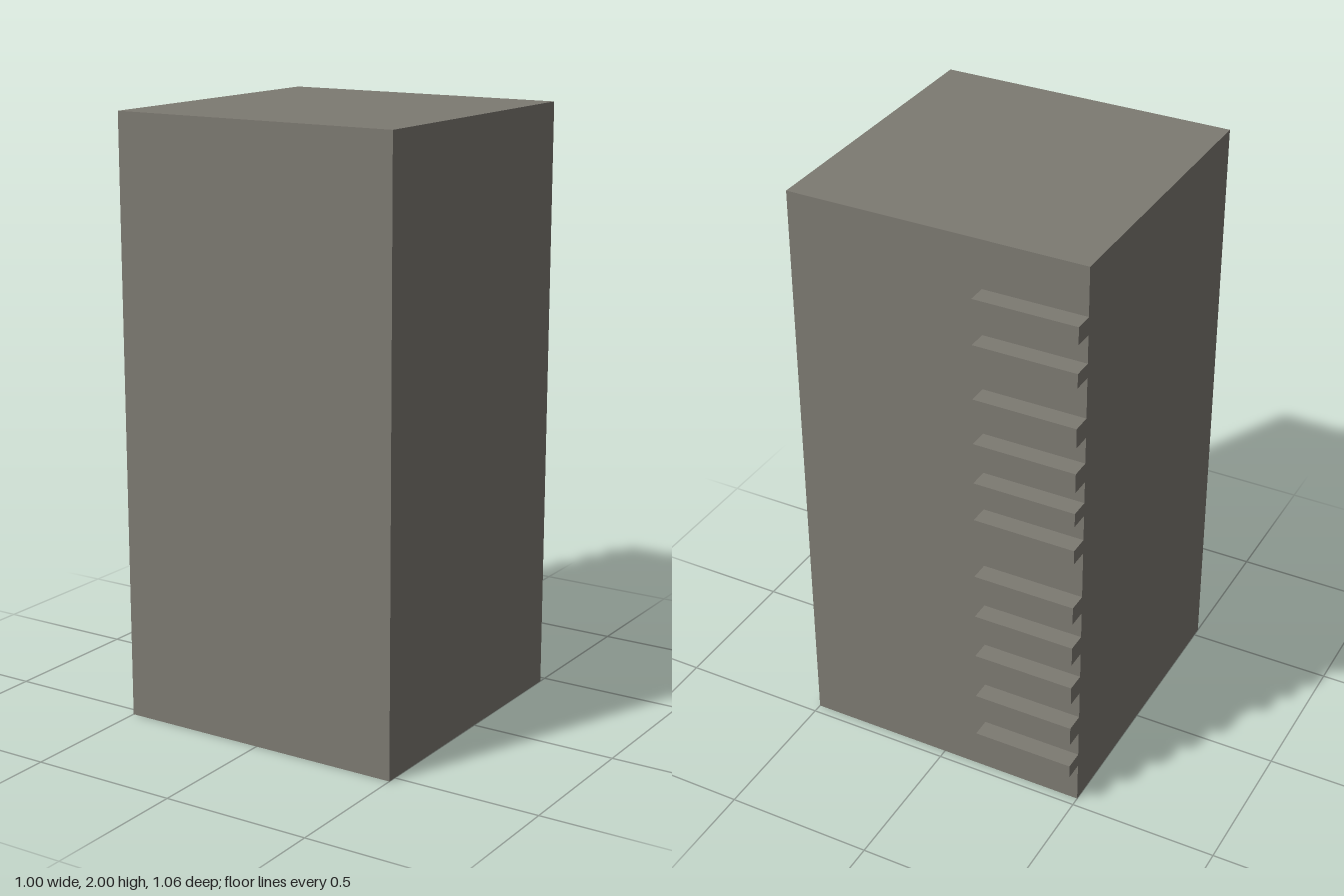
import * as THREE from 'three';

export function createModel() {
  const group = new THREE.Group();
  const stone = new THREE.MeshStandardMaterial({ color: 0x7d7a72 });
  stone.name = 'warm grey';

  // Add a box given its lower and upper limits on each axis
  function addBox(name, [x0, x1], [y0, y1], [z0, z1]) {
    const mesh = new THREE.Mesh(new THREE.BoxGeometry(x1 - x0, y1 - y0, z1 - z0), stone);
    mesh.position.set((x0 + x1) / 2, (y0 + y1) / 2, (z0 + z1) / 2);
    mesh.name = name;
    group.add(mesh);
  }

  // Main block
  addBox('block', [-0.5, 0.5], [0, 2], [-0.468, 0.532]);

  // Irregular ladder of ledges on the back: bottom and top heights
  const ledges = [
    [0.146, 0.194], [0.286, 0.355], [0.456, 0.523], [0.617, 0.684],
    [0.779, 0.842], [1.01, 1.06], [1.15, 1.197], [1.273, 1.34],
    [1.431, 1.498], [1.637, 1.685], [1.78, 1.839],
  ];
  ledges.forEach((span, i) => addBox(`ledge${i + 1}`, [-0.5, -0.157], span, [-0.532, -0.468]));

  return group;
}
